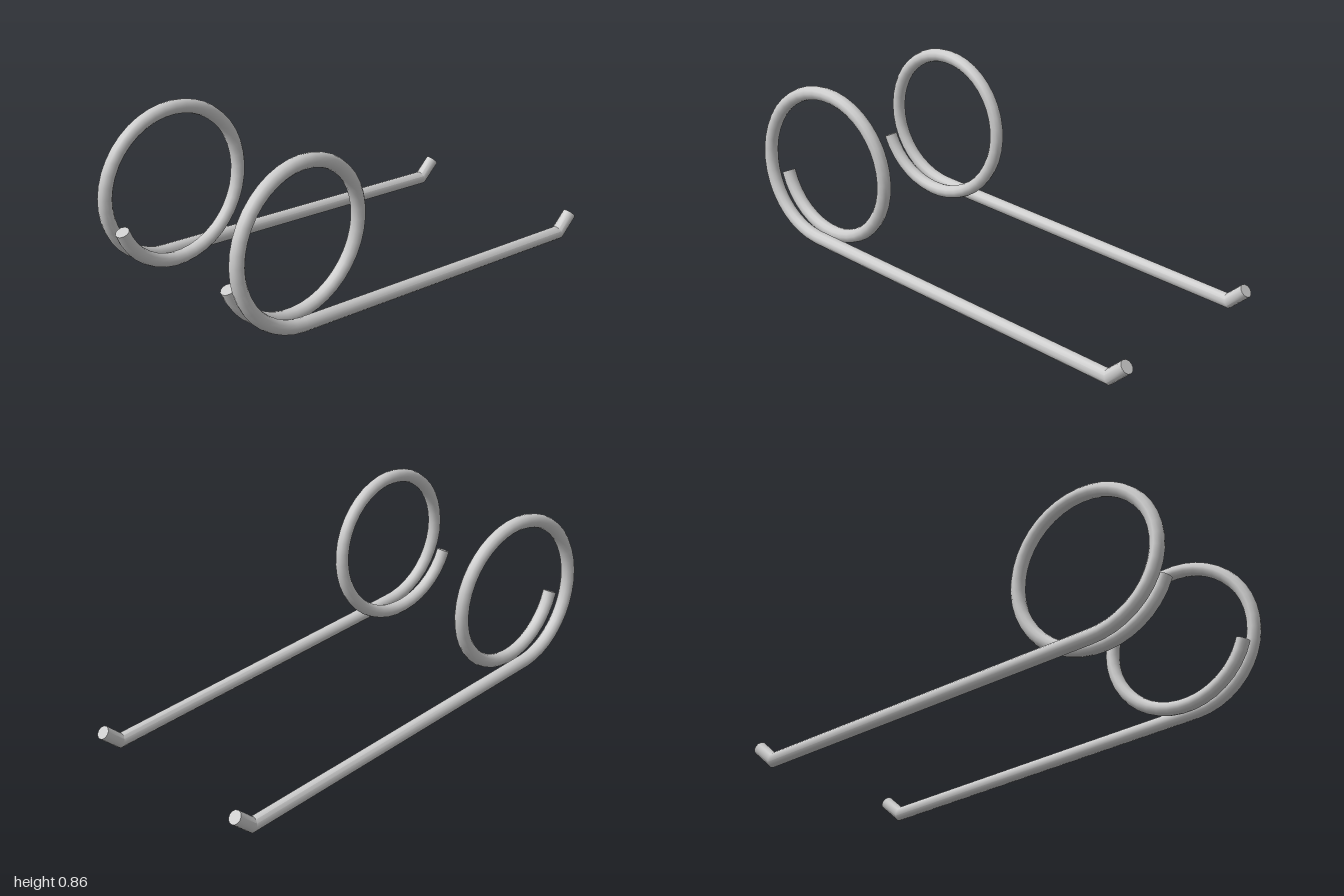
import * as THREE from 'three';
import { toCreasedNormals } from 'three/addons/utils/BufferGeometryUtils.js';

const SIDES = 12, WIRE = 0.03;

// Centre line: hooked tip, straight leg, then just over one turn of coil drifting inward
function springPath(side) {
  const points = [
    new THREE.Vector3(0.975, 0.102, side * 0.43),
    new THREE.Vector3(0.895, 0.032, side * 0.43),
  ];
  const start = 265, sweep = 426, steps = 48;
  for (let i = 0; i <= steps; i++) {
    const t = i / steps;
    const a = THREE.MathUtils.degToRad(start - sweep * t);
    points.push(new THREE.Vector3(
      -0.645 + 0.326 * Math.cos(a), 0.502 + 0.326 * Math.sin(a), side * (0.43 - 0.1 * t)));
  }
  return points;
}

// Round wire swept along the points, mitred at each corner and capped at both ends
function wireGeometry(points) {
  const positions = [], index = [];
  const zAxis = new THREE.Vector3(0, 0, 1);
  const last = points.length - 1;
  points.forEach((p, i) => {
    const into = points[Math.max(i, 1)].clone().sub(points[Math.max(i, 1) - 1]).normalize();
    const n = Math.min(i, last - 1);
    const out = points[n + 1].clone().sub(points[n]).normalize();
    const T = into.clone().add(out).normalize();
    const N = zAxis.clone().cross(T).normalize();
    const B = T.clone().cross(N);
    const mitre = 1 / T.dot(out);
    for (let j = 0; j < SIDES; j++) {
      const a = (j / SIDES) * Math.PI * 2;
      const v = p.clone()
        .addScaledVector(N, WIRE * mitre * Math.cos(a))
        .addScaledVector(B, WIRE * Math.sin(a));
      positions.push(v.x, v.y, v.z);
    }
  });
  for (let i = 0; i < last; i++) {
    for (let j = 0; j < SIDES; j++) {
      const a = i * SIDES + j, b = i * SIDES + (j + 1) % SIDES;
      index.push(a, b, a + SIDES, b, b + SIDES, a + SIDES);
    }
  }
  const end = last * SIDES;
  for (let j = 1; j < SIDES - 1; j++) {
    index.push(0, j + 1, j, end, end + j, end + j + 1);
  }
  const geometry = new THREE.BufferGeometry();
  geometry.setAttribute('position', new THREE.Float32BufferAttribute(positions, 3));
  geometry.setIndex(index);
  return toCreasedNormals(geometry, 0.6);
}

export function createModel() {
  const group = new THREE.Group();
  group.name = 'torsionSpringPair';
  const material = new THREE.MeshStandardMaterial({ color: 0xcccccc });
  for (const [name, side] of [['frontSpring', 1], ['backSpring', -1]]) {
    const spring = new THREE.Mesh(wireGeometry(springPath(side)), material);
    spring.name = name;
    group.add(spring);
  }
  return group;
}
